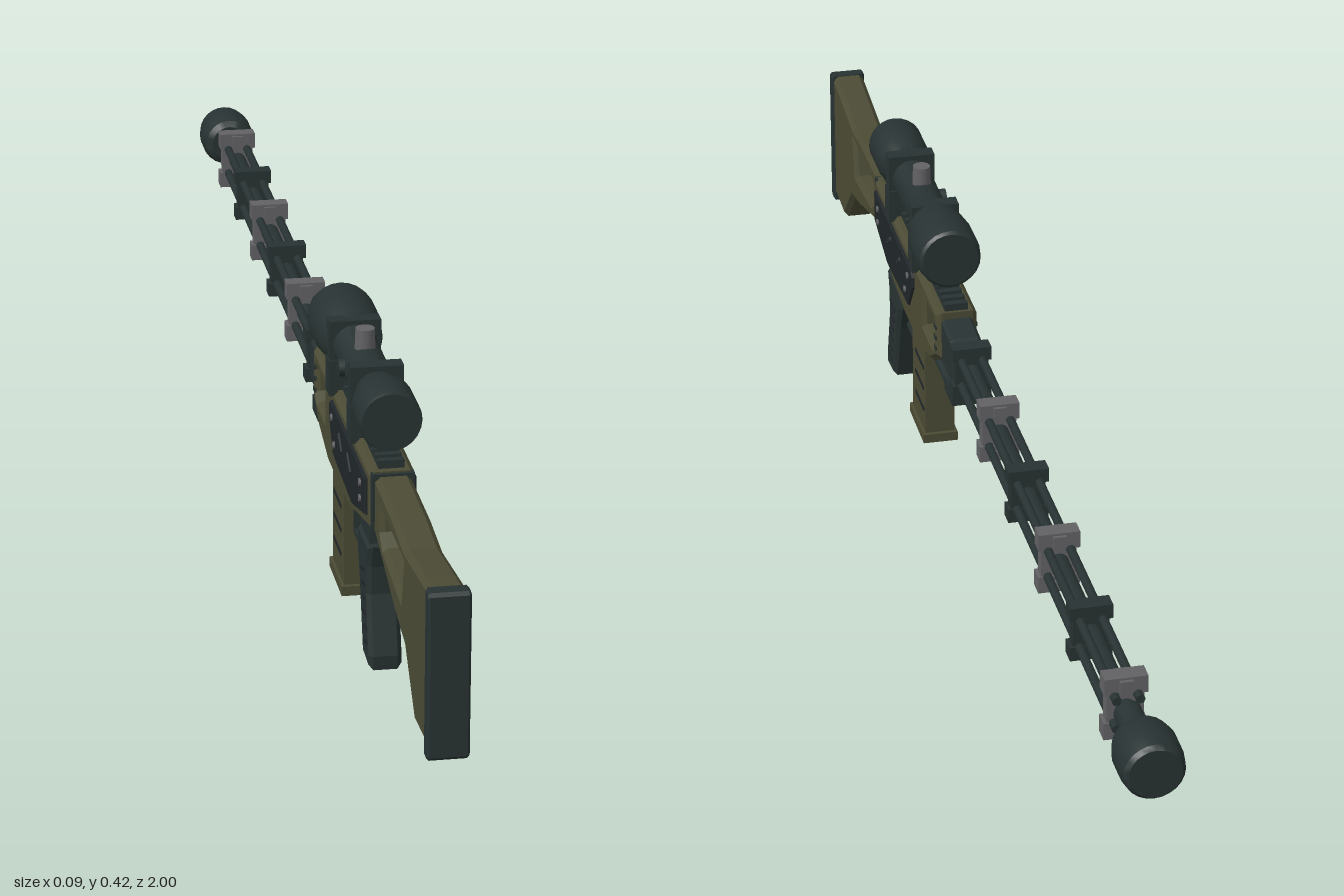
import * as THREE from 'three';
import { toCreasedNormals } from 'three/addons/utils/BufferGeometryUtils.js';

const material = (name, color) => {
  const m = new THREE.MeshStandardMaterial({ color });
  m.name = name;
  return m;
};

export function createModel() {
  const root = new THREE.Group();
  root.name = 'longRifle';
  const dark = material('dark gunmetal', 0x283232);
  const olive = material('olive', 0x4b4b35);
  const panel = material('charcoal panel', 0x20262a);
  const grey = material('steel grey', 0x626265);

  const add = (name, geo, mat, x = 0, y = 0, z = 0, parent = root) => {
    const mesh = new THREE.Mesh(geo, mat);
    mesh.name = name;
    mesh.position.set(x, y, z);
    parent.add(mesh);
    return mesh;
  };
  const group = (name) => {
    const g = new THREE.Group();
    g.name = name;
    root.add(g);
    return g;
  };
  const box = (name, mat, w, h, d, x, y, z, parent) =>
    add(name, new THREE.BoxGeometry(w, h, d), mat, x, y, z, parent);
  const vecs = (pts) => pts.map(([a, b]) => new THREE.Vector2(a, b));

  // Side profile of [z, y] points, extruded across x with chamfered edges
  const slab = (name, mat, pts, width, bevel = 0, holes = [], x = 0, parent = root) => {
    const shape = new THREE.Shape(vecs(pts));
    holes.forEach((h) => shape.holes.push(new THREE.Path(vecs(h))));
    const geo = new THREE.ExtrudeGeometry(shape, {
      depth: width - 2 * bevel, bevelEnabled: bevel > 0, bevelSize: bevel,
      bevelThickness: bevel, bevelOffset: -bevel, bevelSegments: 1,
    });
    geo.translate(0, 0, bevel - width / 2);
    geo.rotateY(-Math.PI / 2);
    return add(name, geo, mat, x, 0, 0, parent);
  };
  // Turned part along z from [radius, z] points with z rising
  const turned = (name, mat, pts, y, parent = root, x = 0) => {
    const geo = new THREE.LatheGeometry(vecs(pts), 24);
    geo.rotateX(Math.PI / 2);
    return add(name, toCreasedNormals(geo, 0.5), mat, x, y, 0, parent);
  };
  const rod = (name, mat, r, z0, z1, x, y, parent) =>
    turned(name, mat, [[0, z0], [r, z0], [r, z1], [0, z1]], y, parent, x);

  // Skeleton shoulder stock and butt pad
  slab('stock', olive, [[0.98, 0.303], [0.945, 0.3], [0.82, 0.285], [0.74, 0.293], [0.6, 0.295],
    [0.6, 0.218], [0.76, 0.172], [0.83, 0.158], [0.9, 0.09], [0.98, 0.095]], 0.048, 0.007,
  [[[0.815, 0.266], [0.65, 0.266], [0.65, 0.236], [0.67, 0.222], [0.8, 0.209]]]);
  slab('buttPad', dark, [[1, 0.3], [0.995, 0.304], [0.977, 0.304], [0.977, 0.083], [0.995, 0.083],
    [1, 0.088]], 0.053, 0.003);

  // Receiver with a window through its front end
  slab('receiver', olive, [[0.605, 0.3], [0.14, 0.3], [0.14, 0.228], [0.19, 0.198], [0.27, 0.178],
    [0.38, 0.178], [0.47, 0.188], [0.605, 0.22]], 0.06, 0.007,
  [[[0.243, 0.279], [0.165, 0.279], [0.16, 0.27], [0.16, 0.24], [0.175, 0.23], [0.243, 0.23]]]);
  slab('stockCollar', dark, [[0.61, 0.298], [0.598, 0.298], [0.598, 0.218], [0.61, 0.218]], 0.056);
  for (const s of [-1, 1]) {
    const side = group(s > 0 ? 'leftPanel' : 'rightPanel');
    slab('panelPlate', panel, [[0.59, 0.285], [0.31, 0.285], [0.3, 0.278], [0.3, 0.262], [0.335, 0.216],
      [0.49, 0.208], [0.59, 0.235]], 0.008, 0.002, [], s * 0.03, side);
    for (const [z, y] of [[0.558, 0.268], [0.558, 0.246], [0.33, 0.268], [0.35, 0.236]]) {
      const bolt = add('bolt', new THREE.CylinderGeometry(0.005, 0.005, 0.004, 10), grey,
        s * 0.0345, y, z, side);
      bolt.rotation.z = Math.PI / 2;
    }
    for (const z of [0.47, 0.4]) {
      const slot = box('slot', dark, 0.003, 0.006, 0.03, s * 0.0345, 0.258, z, side);
      slot.rotation.x = 0.6;
    }
    // Vent slots at the receiver nose
    for (const y of [0.24, 0.257, 0.274])
      box('noseSlot', dark, 0.003, 0.006, 0.012, s * 0.0295, y, 0.152, side);
  }

  // Toothed top rail
  const rail = group('topRail');
  box('railBase', dark, 0.034, 0.008, 0.45, 0, 0.301, 0.37, rail);
  for (let i = 0; i < 23; i++)
    box('railTooth', dark, 0.034, 0.008, 0.011, 0, 0.307, 0.59 - i * 0.02, rail);

  // Scope
  const scope = group('scope');
  turned('scopeBody', dark, [[0, 0.183], [0.041, 0.183], [0.045, 0.187], [0.047, 0.2], [0.047, 0.245],
    [0.042, 0.285], [0.031, 0.312], [0.029, 0.32], [0.029, 0.485], [0.034, 0.505], [0.041, 0.528],
    [0.041, 0.588], [0.039, 0.594], [0, 0.594]], 0.362, scope);
  for (const z of [0.302, 0.475]) {
    box('ringClamp', dark, 0.07, 0.076, 0.024, 0, 0.36, z, scope);
    box('ringFoot', dark, 0.05, 0.036, 0.024, 0, 0.312, z, scope);
    for (const s of [-1, 1])
      box('ringFlange', dark, 0.012, 0.05, 0.03, s * 0.03, 0.318, z, scope);
  }
  const turret = add('turret', new THREE.CylinderGeometry(0.013, 0.014, 0.03, 12), grey,
    0, 0.401, 0.39, scope);
  turret.name = 'topTurret';
  const sideTurret = add('sideTurret', new THREE.CylinderGeometry(0.012, 0.012, 0.012, 12), dark,
    -0.03, 0.362, 0.39, scope);
  sideTurret.rotation.z = Math.PI / 2;

  // Pistol grip with ribs on the sides
  const grip = group('grip');
  slab('gripBody', dark, [[0.552, 0.172], [0.465, 0.172], [0.463, 0.14], [0.48, 0.1], [0.508, 0.004],
    [0.5, 0], [0.56, 0], [0.562, 0.02], [0.54, 0.1], [0.542, 0.14]].filter((p, i) => i !== 5),
  0.044, 0.006, [], 0, grip);
  slab('gripMount', dark, [[0.54, 0.212], [0.45, 0.195], [0.465, 0.168], [0.54, 0.168]], 0.036, 0, [], 0, grip);
  for (let i = 0; i < 6; i++) {
    const t = i / 5;
    const rib = box('gripRib', panel, 0.046, 0.006, 0.03, 0, 0.125 - t * 0.095, 0.51 + t * 0.022, grip);
    rib.rotation.x = -0.25;
  }

  // Trigger and guard
  const trigger = group('triggerGroup');
  box('guardBottom', dark, 0.018, 0.006, 0.11, 0, 0.114, 0.412, trigger);
  box('guardFront', dark, 0.018, 0.068, 0.006, 0, 0.147, 0.358, trigger);
  slab('trigger', grey, [[0.425, 0.19], [0.407, 0.19], [0.412, 0.155], [0.402, 0.128], [0.408, 0.126],
    [0.42, 0.152]], 0.01, 0, [], 0, trigger);

  // Magazine
  const magazine = group('magazine');
  box('magazineBody', olive, 0.044, 0.165, 0.092, 0, 0.11, 0.312, magazine);
  box('magazineBase', olive, 0.052, 0.014, 0.104, 0, 0.027, 0.312, magazine);
  for (const y of [0.14, 0.105, 0.07])
    box('magazineGroove', panel, 0.046, 0.006, 0.062, 0, y, 0.305, magazine);

  // Folded support under the fore end
  const support = group('underSupport');
  rod('supportRod', dark, 0.007, 0.09, 0.3, 0.011, 0.184, support);
  rod('supportRod', dark, 0.007, 0.09, 0.3, -0.011, 0.184, support);
  box('supportFoot', dark, 0.042, 0.022, 0.052, 0, 0.192, 0.104, support);

  // Barrel cluster
  const barrel = group('barrel');
  slab('barrelBlock', dark, [[0.145, 0.29], [0.085, 0.286], [0.065, 0.278], [0.065, 0.228],
    [0.085, 0.22], [0.145, 0.222]], 0.046, 0.005, [], 0, barrel);
  rod('mainBarrel', dark, 0.013, -0.93, 0.1, 0, 0.253, barrel);
  for (const sx of [-1, 1])
    for (const sy of [-1, 1])
      rod('outerRod', dark, 0.006, -0.865, 0.1, sx * 0.015, 0.253 + sy * 0.02, barrel);
  turned('barrelTip', dark, [[0, -0.93], [0.018, -0.93], [0.018, -0.86], [0, -0.86]], 0.253, barrel);

  // Clamps alternating dark and steel
  for (let i = 0; i < 6; i++) {
    const steel = i % 2 === 1;
    const mat = steel ? grey : dark;
    const z = 0.05 - i * 0.178;
    const c = group(steel ? 'steelClamp' : 'darkClamp');
    box('clampPlate', mat, 0.048, 0.058, 0.018, 0, 0.253, z, c);
    for (const s of [-1, 1]) {
      const lift = steel ? 0.032 : 0.029;
      box('clampJaw', mat, 0.056, steel ? 0.024 : 0.02, 0.024, 0, 0.254 + s * lift, z, c);
      if (steel) box('clampLug', mat, 0.018, 0.014, 0.034, 0, 0.254 + s * 0.034, z, c);
    }
  }

  // Muzzle cap
  turned('muzzle', dark, [[0, -1], [0.034, -1], [0.039, -0.994], [0.042, -0.975], [0.042, -0.945],
    [0.037, -0.926], [0.028, -0.92], [0, -0.92]], 0.253);

  return root;
}
